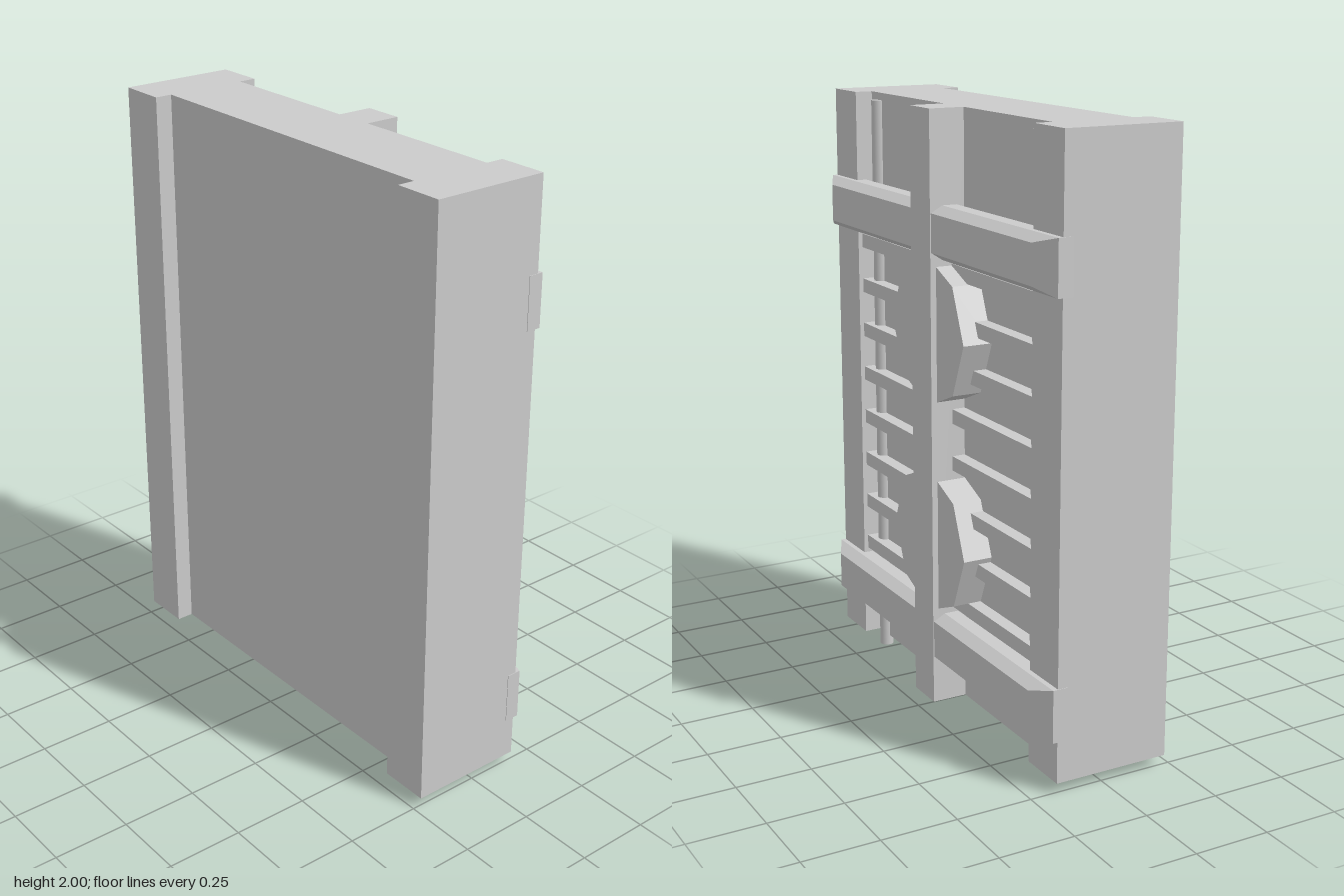
import * as THREE from 'three';

export function createModel() {
  const model = new THREE.Group();
  const material = new THREE.MeshStandardMaterial({ color: 0xcccccc, flatShading: true });
  const smooth = new THREE.MeshStandardMaterial({ color: 0xcccccc });

  const add = (name, geometry, mat = material) => {
    const mesh = new THREE.Mesh(geometry, mat);
    mesh.name = name;
    model.add(mesh);
    return mesh;
  };
  const block = (name, x0, x1, y0, y1, z0, z1) =>
    add(name, new THREE.BoxGeometry(x1 - x0, y1 - y0, z1 - z0)
      .translate((x0 + x1) / 2, (y0 + y1) / 2, (z0 + z1) / 2));

  const bottom = 0.035, top = 2;

  // Body: one plan outline with a recess on both faces, raised to full height
  const plan = [
    [-0.228, -0.76], [0.165, -0.76], [0.165, -0.595], [0.105, -0.595],
    [0.105, 0.595], [0.165, 0.595], [0.165, 0.76], [-0.228, 0.76],
    [-0.228, 0.595], [-0.17, 0.595], [-0.17, -0.595], [-0.228, -0.595],
  ];
  const outline = new THREE.Shape(plan.map(([x, z]) => new THREE.Vector2(x, -z)));
  add('wallPanel', new THREE.ExtrudeGeometry(outline, { depth: top - bottom, bevelEnabled: false })
    .rotateX(-Math.PI / 2).translate(0, bottom, 0));

  // Central upright
  block('centrePost', 0.1, 0.225, bottom, top, -0.067, 0.067);

  // Horizontal slats in the recess
  for (let i = 0; i < 8; i++) {
    const y = 0.385 + i * 0.158;
    block('slat', 0.1, 0.15, y - 0.024, y + 0.024, -0.595, 0.595);
  }

  // Vertical pipes running behind the slats and out at the foot
  for (const side of [-1, 1]) {
    add('pipe', new THREE.CylinderGeometry(0.024, 0.024, 1.975, 16), smooth)
      .position.set(0.107, 0.9875, side * 0.54);
  }

  // Octagonal plates
  for (const y of [0.585, 1.29]) {
    add('octagonPlate', new THREE.CylinderGeometry(0.247, 0.247, 0.1, 8).rotateZ(-Math.PI / 2))
      .position.set(0.155, y, 0);
  }

  // Cross bands with chamfered front edges and ends
  for (const y of [0.258, 1.615]) {
    block('bandBase', 0.132, 0.182, y - 0.086, y + 0.086, -0.762, 0.762);
    const face = new THREE.BoxGeometry(0.04, 0.172, 1.524);
    const p = face.attributes.position;
    for (let i = 0; i < p.count; i++) {
      if (p.getX(i) > 0) {
        p.setY(i, p.getY(i) > 0 ? 0.064 : -0.06);
        p.setZ(i, Math.sign(p.getZ(i)) * 0.68);
      }
    }
    face.computeVertexNormals();
    add('bandFace', face).position.set(0.202, y, 0);
  }

  return model;
}
